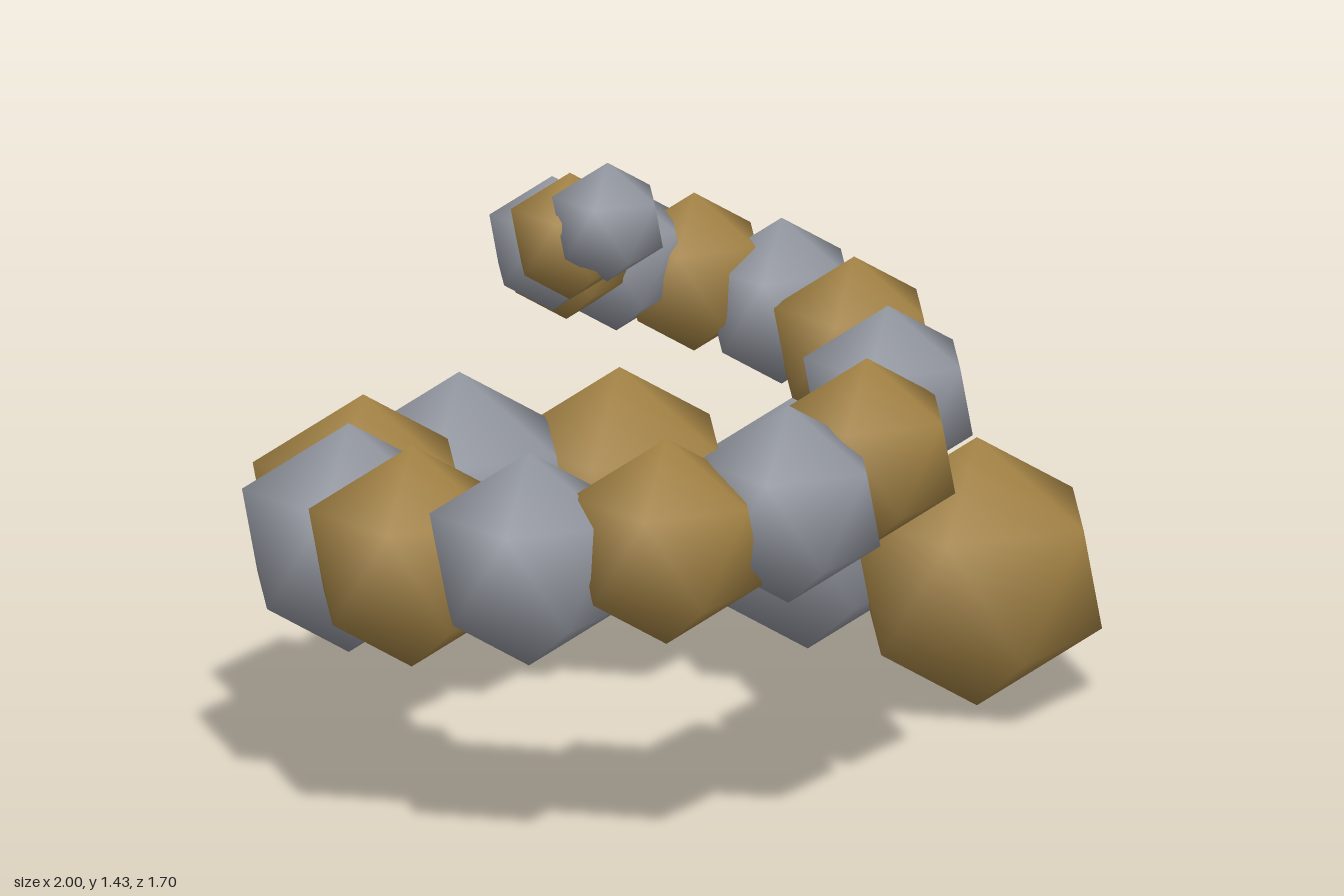
import * as THREE from 'three';

// Icosahedron standing on one corner, with smooth radial normals
function makeBead() {
  const geometry = new THREE.IcosahedronGeometry(1, 0);
  const golden = (1 + Math.sqrt(5)) / 2;
  geometry.rotateZ(-Math.atan(1 / golden));
  geometry.setAttribute('normal', geometry.attributes.position.clone());
  return geometry;
}

export function createModel() {
  const group = new THREE.Group();
  group.name = 'spiralOfBeads';
  const bead = makeBead();
  const gold = new THREE.MeshStandardMaterial({ color: 0xa68546 });
  const grey = new THREE.MeshStandardMaterial({ color: 0x9599a2 });

  // Beads climb an inward spiral, shrinking evenly and alternating in colour
  const count = 20;
  for (let i = 0; i < count; i++) {
    const angle = i * 0.5;
    const reach = 0.864 - 0.0358 * i;
    const isGold = i % 2 === 0;
    const mesh = new THREE.Mesh(bead, isGold ? gold : grey);
    mesh.name = (isGold ? 'goldBead' : 'greyBead') + (i + 1);
    mesh.scale.setScalar(0.3 - 0.0088 * i);
    mesh.position.set(
      -0.133 + reach * Math.cos(angle),
      0.3 + 0.0523 * i,
      0.135 - reach * Math.sin(angle)
    );
    group.add(mesh);
  }
  return group;
}
